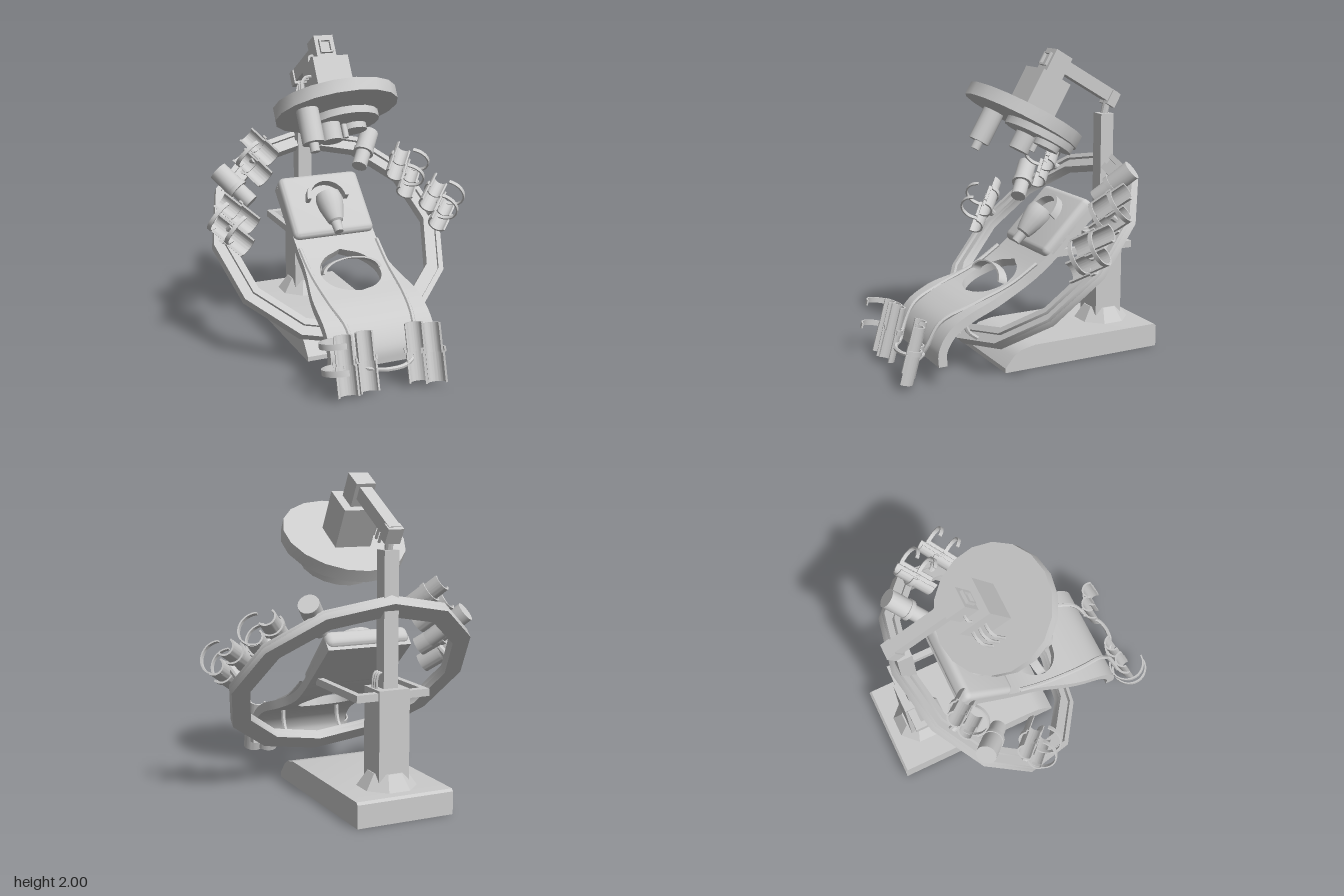
import * as THREE from 'three';
import { toCreasedNormals } from 'three/addons/utils/BufferGeometryUtils.js';
import { RoundedBoxGeometry } from 'three/addons/geometries/RoundedBoxGeometry.js';

const V = (x, y, z) => new THREE.Vector3(x, y, z);
const CX = -0.04; // symmetry plane of the machine
const TILT = -Math.PI / 4; // ring and backrest lean
const mat = new THREE.MeshStandardMaterial({ color: 0xcccccc, side: THREE.DoubleSide });

function add(parent, name, geo, x = 0, y = 0, z = 0) {
  const m = new THREE.Mesh(toCreasedNormals(geo, 0.6), mat);
  m.name = name;
  m.position.set(x, y, z);
  parent.add(m);
  return m;
}
function group(parent, name, x = 0, y = 0, z = 0, rx = 0) {
  const g = new THREE.Group();
  g.name = name;
  g.position.set(x, y, z);
  g.rotation.x = rx;
  parent.add(g);
  return g;
}
const box = (w, h, d) => new THREE.BoxGeometry(w, h, d);
const cyl = (r0, r1, h, n = 16) => new THREE.CylinderGeometry(r0, r1, h, n);
const tube = (pts, r, n = 24) => new THREE.TubeGeometry(new THREE.CatmullRomCurve3(pts), n, r, 6);

function rod(parent, name, a, b, r) {
  const m = add(parent, name, cyl(r, r, a.distanceTo(b), 10));
  m.position.copy(a).lerp(b, 0.5);
  m.quaternion.setFromUnitVectors(V(0, 1, 0), b.clone().sub(a).normalize());
}
// Curved plate standing along y; angles 0..PI are its back half
function arcBand(r, t, a0, a1, h, y = 0) {
  const s = new THREE.Shape();
  s.absarc(0, 0, r, a0, a1, false);
  s.absarc(0, 0, r - t, a1, a0, true);
  const g = new THREE.ExtrudeGeometry(s, { depth: h, bevelEnabled: false, curveSegments: 14 });
  return g.rotateX(-Math.PI / 2).translate(0, y - h / 2, 0);
}
// Twelve-sided flat ring
function polyRing(ro, ri, depth) {
  const pts = r => Array.from({ length: 12 }, (_, i) =>
    new THREE.Vector2(Math.sin(i * Math.PI / 6) * r, Math.cos(i * Math.PI / 6) * r));
  const s = new THREE.Shape(pts(ro));
  s.holes.push(new THREE.Path(pts(ri).reverse()));
  return new THREE.ExtrudeGeometry(s, { depth, bevelEnabled: false });
}
// Group whose y axis runs from the low end to the top end and whose z faces "open"
function alongAxis(parent, name, top, low, open) {
  const g = group(parent, name);
  const y = top.clone().sub(low).normalize();
  const x = y.clone().cross(open).normalize();
  g.quaternion.setFromRotationMatrix(new THREE.Matrix4().makeBasis(x, y, x.clone().cross(y)));
  g.position.copy(top).lerp(low, 0.5);
  return g;
}
// Stepped half-pipe limb support
function gutter(g, L, r) {
  add(g, 'lowerShell', arcBand(r, 0.012, -0.1, Math.PI + 0.1, L * 0.52, -L * 0.24));
  add(g, 'upperShell', arcBand(r * 0.88, 0.012, -0.1, Math.PI + 0.1, L * 0.5, L * 0.25));
  add(g, 'shellCollar', arcBand(r + 0.01, 0.012, 0, Math.PI, 0.03, 0.02));
}

// Curved bed: two lofted halves that part around the oval opening
function buildBed(root) {
  const curve = new THREE.CatmullRomCurve3([[0.13, 0.64], [0.22, 0.64], [0.33, 0.575], [0.415, 0.44],
    [0.48, 0.25], [0.54, 0.1], [0.593, 0], [0.665, -0.1], [0.75, -0.2], [0.975, -0.455]].map(p => V(0, p[0], p[1])));
  const N = 72, T = 0.029;
  for (const side of [1, -1]) {
    const pos = [], idx = [];
    for (let i = 0; i <= N; i++) {
      const p = curve.getPointAt(i / N), t = curve.getTangentAt(i / N);
      const e = (p.z - 0.145) / 0.175;
      const inner = Math.abs(e) < 1 ? 0.2 * Math.sqrt(1 - e * e) : 0;
      const outer = THREE.MathUtils.lerp(0.28, 0.35, THREE.MathUtils.smoothstep(p.z, 0, 0.45));
      for (const [x, k] of [[outer, T], [inner, T], [inner, -T], [outer, -T]])
        pos.push(side * x, p.y - t.z * k, p.z + t.y * k);
      if (i < N) for (let j = 0; j < 4; j++) {
        const a = i * 4 + j, b = i * 4 + (j + 1) % 4;
        idx.push(a, b, a + 4, b, b + 4, a + 4);
      }
    }
    const e = N * 4;
    idx.push(0, 2, 1, 0, 3, 2, e, e + 1, e + 2, e, e + 2, e + 3);
    const geo = new THREE.BufferGeometry();
    geo.setAttribute('position', new THREE.Float32BufferAttribute(pos, 3));
    geo.setIndex(idx);
    add(root, side > 0 ? 'bedLeftHalf' : 'bedRightHalf', geo);
    add(root, 'bedBracket', tube([V(side * 0.2, 0.4, 0.43), V(side * 0.2, 0.33, 0.425),
      V(side * 0.2, 0.27, 0.4), V(side * 0.2, 0.22, 0.34)], 0.015));
  }
  // U-shaped rail along the bed
  const half = [[0.27, 0.675, -0.04], [0.265, 0.56, 0.15], [0.25, 0.455, 0.42], [0.22, 0.37, 0.6],
    [0.2, 0.22, 0.685], [0.17, 0.16, 0.715], [0.08, 0.15, 0.785]];
  add(root, 'bedRail', tube([...half.map(p => V(...p)), V(0, 0.15, 0.8),
    ...half.map(p => V(-p[0], p[1], p[2])).reverse()], 0.014, 80));
  // Strap arching over the opening
  const strap = add(root, 'waistStrap', arcBand(0.2, 0.02, 0, Math.PI, 0.06), 0, 0.555, 0.165);
  strap.rotation.x = 1.15;
  strap.scale.z = 0.45;
}

function buildHead(root) {
  const head = group(root, 'toolHead', 0, 1.61, -0.11, -Math.PI / 6);
  add(head, 'disc', cyl(0.395, 0.395, 0.083, 18), 0, -0.041, 0);
  add(head, 'lowerDisc', cyl(0.235, 0.235, 0.05, 18), 0.08, -0.105, -0.12);
  // x, z, radius, lower end
  for (const [x, z, r, low] of [[-0.23, 0.09, 0.07, -0.3], [-0.23, 0.09, 0.03, -0.355],
    [-0.03, -0.094, 0.07, -0.245], [0.16, -0.156, 0.085, -0.17], [0.08, -0.12, 0.02, -0.22]])
    add(head, 'toolBarrel', cyl(r, r, -low - 0.06), x, (low - 0.06) / 2, z);
  add(head, 'motorBox', box(0.24, 0.27, 0.22), 0, 0.132, -0.028);
  add(head, 'topBox', box(0.13, 0.17, 0.13), 0, 0.342, -0.033);
  for (const [w, h, x, y] of [[0.08, 0.012, 0, 0.39], [0.08, 0.012, 0, 0.31], [0.012, 0.08, 0.035, 0.35], [0.012, 0.08, -0.035, 0.35]])
    add(head, 'socketFrame', box(w, h, 0.03), x, y, 0.037);
  for (let i = 0; i < 3; i++) {
    const z = -0.1 + i * 0.045;
    add(head, 'headCable', tube([V(-0.11, 0.17, z), V(-0.16, 0.165, z), V(-0.193, 0.12, z), V(-0.197, -0.01, z)], 0.01));
  }
  add(head, 'topCable', tube([V(-0.06, 0.32, -0.04), V(-0.09, 0.315, -0.04), V(-0.1, 0.29, -0.04), V(-0.1, 0.26, -0.04)], 0.009));
  const arm = add(root, 'arm', box(0.08, 0.085, 0.46), 0, 1.775, -0.55);
  arm.rotation.x = -Math.PI / 6;
  const end = add(root, 'armEnd', box(0.1, 0.1, 0.065), 0, 1.655, -0.735);
  end.rotation.x = -Math.PI / 6;
  rod(root, 'armPivot', V(0, 1.53, -0.685), V(0, 1.64, -0.71), 0.025);
}

// Limb holders and tools on the ring: top point, low point, solid or open
function buildRingUnits(root) {
  const n = V(0, Math.SQRT1_2, Math.SQRT1_2), centre = V(0, 0.71, -0.195);
  const units = [
    [[-0.53, 1.29, -0.55], [-0.37, 1.11, -0.39], false], [[-0.71, 1.13, -0.47], [-0.54, 0.94, -0.31], true],
    [[-0.82, 0.96, -0.22], [-0.62, 0.78, -0.03], false], [[0.43, 1.26, -0.61], [0.28, 1.07, -0.44], true],
    [[0.67, 1.13, -0.44], [0.5, 0.95, -0.26], false], [[0.84, 0.93, -0.21], [0.63, 0.78, -0.03], false]];
  units.forEach(([a, b, solid], i) => {
    const top = V(a[0] - CX, a[1], a[2]), low = V(b[0] - CX, b[1], b[2]);
    const sx = Math.sign(a[0]), L = top.distanceTo(low);
    const g = alongAxis(root, solid ? 'ringTool' : 'ringLimbHolder', top, low, V(sx * 0.45, 0.55, 0.7));
    if (solid) {
      add(g, 'toolBody', cyl(0.065, 0.065, L * 0.6), 0, L * 0.2, 0);
      add(g, 'toolNose', cyl(0.052, 0.052, L * 0.5), 0, -L * 0.25, 0);
      add(g, 'toolBand', cyl(0.071, 0.071, 0.03), 0, -L * 0.06, 0);
    } else {
      for (const s of [-1, 1]) {
        const shell = group(g, 'limbGutter', s * 0.065, -s * sx * 0.03, 0);
        gutter(shell, L * 0.85, 0.068);
      }
      const start = sx > 0 ? -2.4 : 2.2;
      for (const y of i === 0 ? [0.04] : [-0.05, 0.09])
        add(g, 'limbStrap', arcBand(0.11, 0.01, start, start + 3.5, 0.025, y), sx * 0.02, 0, 0.035);
    }
    // mounting post down to the ring
    const mid = g.position.clone(), d = mid.clone().sub(centre);
    d.addScaledVector(n, -d.dot(n)).setLength(0.73);
    rod(root, 'ringPost', mid.addScaledVector(n, -0.03), d.add(centre), 0.025);
  });
}

function buildLegHolders(root) {
  // x, z at middle, opening direction
  for (const [x, z, ox] of [[-0.305, 0.79, -0.15], [-0.165, 0.78, 0.15], [0.165, 0.77, -0.15], [0.255, 0.82, -0.55]]) {
    const g = alongAxis(root, 'legHolder', V(x, 0.385, z - 0.045), V(x, 0.04, z + 0.05), V(ox, 0.2, 1));
    gutter(g, 0.36, 0.066);
    rod(root, 'legMount', V(x, 0.18, z - 0.06), V(Math.sign(x) * 0.19, 0.17, 0.71), 0.018);
  }
  for (const [y, z] of [[0.35, 0.76], [0.2, 0.8]]) {
    const s = add(root, 'legStrap', arcBand(0.12, 0.01, Math.PI * 0.32, Math.PI * 1.5, 0.035), -0.335, y, z);
    s.rotation.x = -0.25;
  }
}

export function createModel() {
  const model = new THREE.Group();
  model.name = 'treatmentChair';
  const root = group(model, 'machine', CX);

  // Base with sloping front; shape x is minus z
  const s = new THREE.Shape([[-0.2, 0], [-0.2, 0.03], [-0.14, 0.1], [-0.09, 0.135], [0.01, 0.155],
    [0.92, 0.155], [0.935, 0.14], [0.935, 0]].map(p => new THREE.Vector2(...p)));
  add(root, 'base', new THREE.ExtrudeGeometry(s, { depth: 0.63, bevelEnabled: false })
    .translate(0, 0, -0.315).rotateY(Math.PI / 2));

  // Column on a flared eight-sided foot
  add(root, 'columnFoot', cyl(0.115, 0.183, 0.095, 8).rotateY(Math.PI / 8), 0, 0.2, -0.69);
  add(root, 'lowerColumn', box(0.2, 0.55, 0.195), 0, 0.475, -0.688);
  add(root, 'upperColumn', box(0.095, 0.82, 0.095), 0, 1.15, -0.688);
  for (let i = 0; i < 3; i++) {
    const z = -0.66 - i * 0.025;
    add(root, 'columnCable', tube([V(0.03, 0.84, z), V(0.065, 0.84, z), V(0.08, 0.8, z), V(0.08, 0.74, z)], 0.008, 12));
  }
  add(root, 'crossbar', box(0.48, 0.045, 0.05), 0, 0.712, -0.745);
  for (const x of [-0.22, 0.22]) add(root, 'supportArm', box(0.04, 0.045, 0.57), x, 0.712, -0.485);

  // Tilted ring with raised tracks
  const ring = group(root, 'ring', 0, 0.71, -0.195, TILT);
  add(ring, 'ringPlate', polyRing(0.8, 0.68, 0.045), 0, 0, -0.03);
  add(ring, 'outerTrack', polyRing(0.8, 0.765, 0.025), 0, 0, 0.01);
  add(ring, 'innerTrack', polyRing(0.725, 0.68, 0.025), 0, 0, 0.01);

  buildBed(root);

  // Backrest cushion with face cup and collar
  const back = group(root, 'backrest', 0, 0.865, -0.28, TILT);
  add(back, 'cushion', new RoundedBoxGeometry(0.56, 0.46, 0.11, 3, 0.04));
  const cup = [[0, 0.1], [0.08, 0.1], [0.088, 0.06], [0.08, 0], [0.06, -0.07], [0.05, -0.1], [0.035, -0.11], [0.03, -0.18], [0, -0.18]];
  add(back, 'faceCup', new THREE.LatheGeometry(cup.map(p => new THREE.Vector2(...p)).reverse(), 16), 0, -0.07, 0.1);
  add(back, 'headCollar', arcBand(0.145, 0.025, 0, Math.PI, 0.06).rotateX(Math.PI / 2), 0, 0.01, 0.08);

  buildHead(root);
  buildRingUnits(root);
  buildLegHolders(root);
  return model;
}
